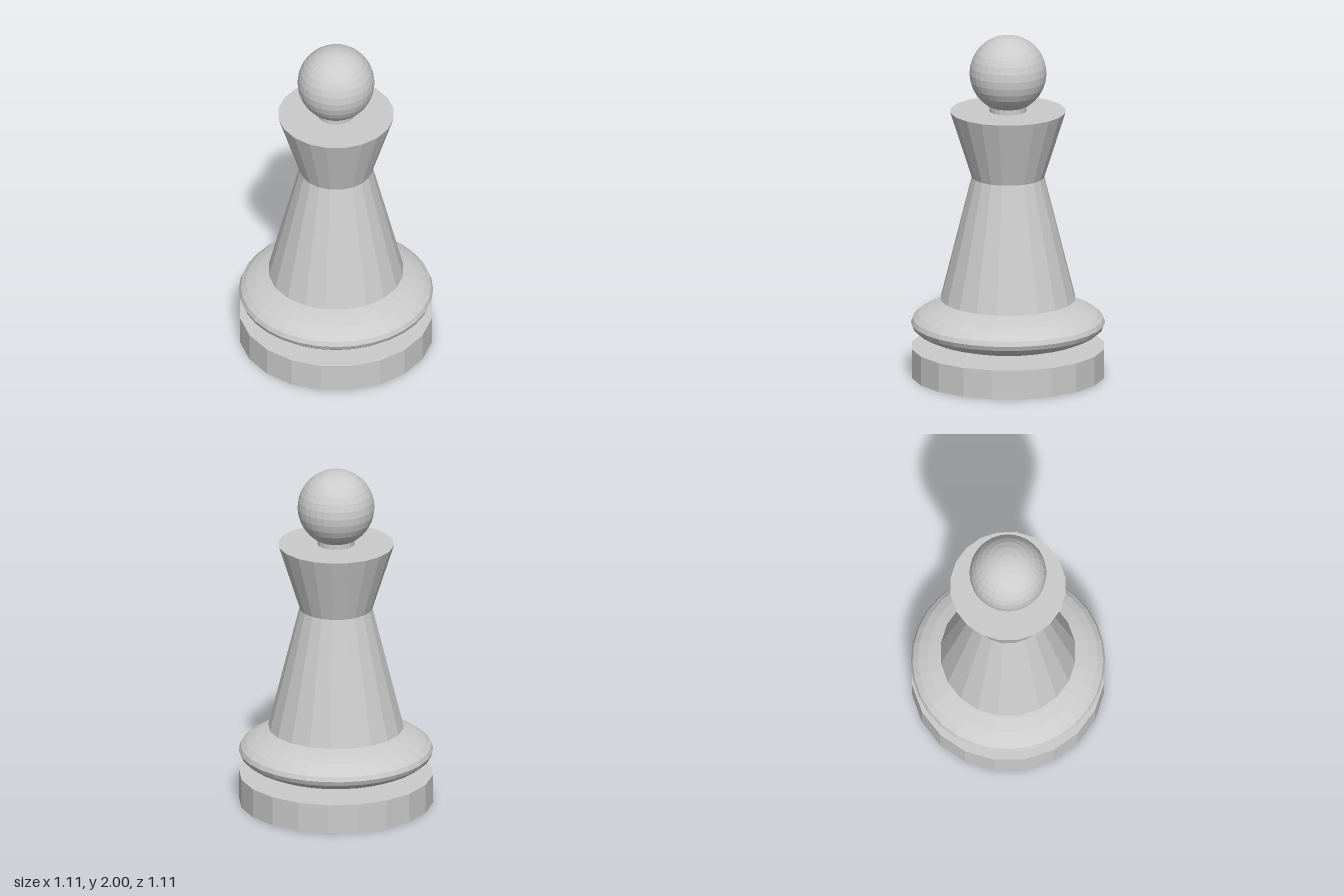
import * as THREE from 'three';

const material = new THREE.MeshStandardMaterial({ color: 0xcccccc, flatShading: true });

export function createModel() {
  const group = new THREE.Group();
  group.name = 'pawnPiece';

  const add = (name, geometry, y) => {
    const mesh = new THREE.Mesh(geometry, material);
    mesh.name = name;
    mesh.position.y = y;
    group.add(mesh);
    return mesh;
  };
  // Twenty-sided frustum standing between two heights
  const frustum = (name, rBottom, rTop, y0, y1, open = false) =>
    add(name, new THREE.CylinderGeometry(rTop, rBottom, y1 - y0, 20, 1, open), (y0 + y1) / 2);

  // Foot plate
  frustum('base', 0.555, 0.555, 0, 0.17);

  // Flattened cushion resting on the foot
  add('cushion', new THREE.SphereGeometry(0.555, 32, 16), 0.31).scale.y = 0.137 / 0.555;

  // Body tapering to a waist, then flaring into the collar
  frustum('body', 0.388, 0.208, 0.45, 1.17);
  frustum('collar', 0.208, 0.332, 1.17, 1.558);

  // Short neck and round head
  frustum('neck', 0.106, 0.106, 1.55, 1.62);
  add('head', new THREE.SphereGeometry(0.22, 32, 16), 1.78);

  return group;
}
